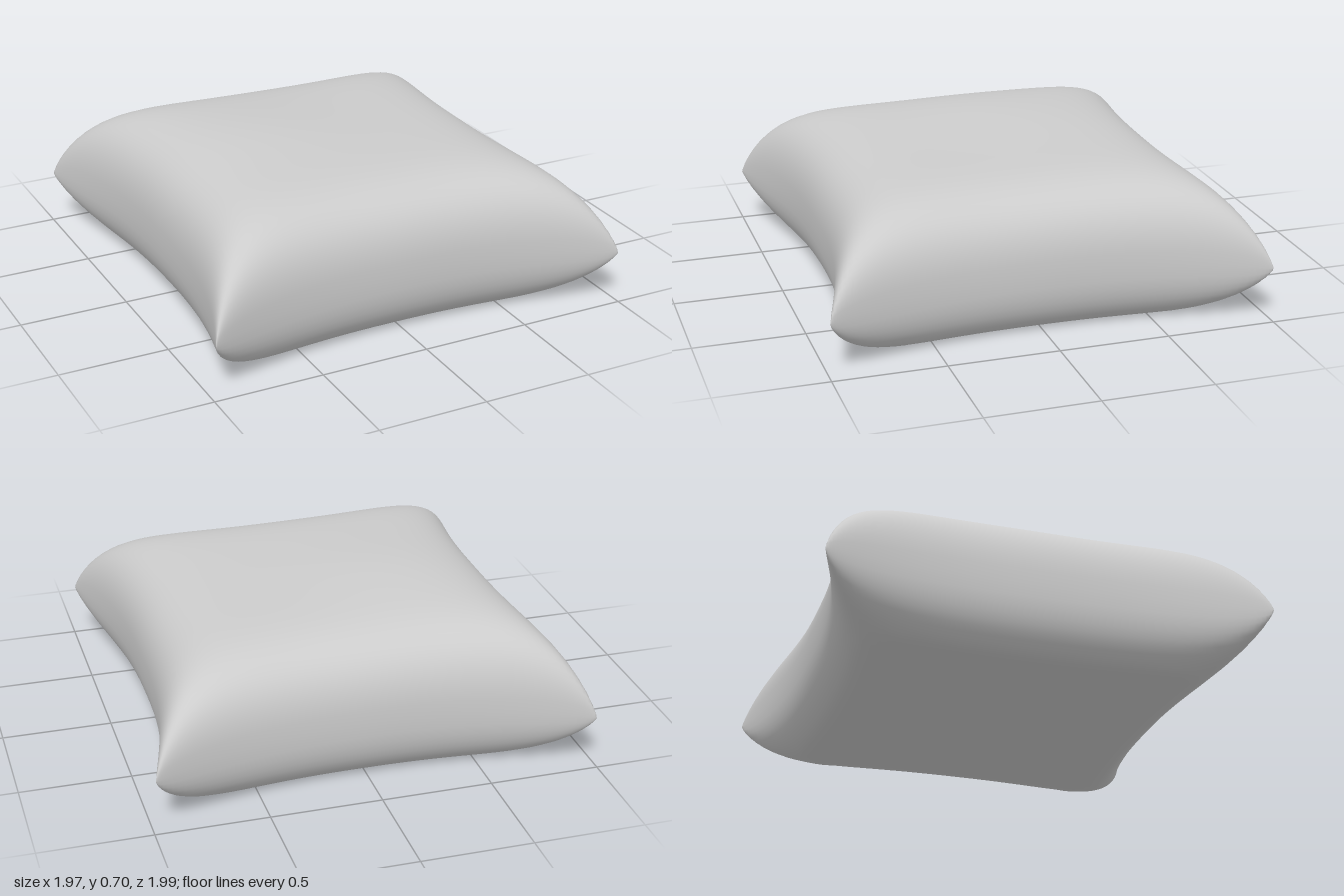
import * as THREE from 'three';
import { mergeGeometries, mergeVertices } from 'three/addons/utils/BufferGeometryUtils.js';

const SEGMENTS = 48;

// Fullness across one axis: 1 in the middle, falling steeply to 0 at the seam
const fullness = (t) => Math.pow(Math.max(0, 1 - Math.pow(Math.abs(t), 6)), 0.4);

// Seam outline: sides curve inward between the drawn-out corners
const flare = (t) => Math.pow(Math.abs(t), 2.5);

// One half of the cover: side = 1 for the domed top, -1 for the flattened underside
function coverHalf(side) {
  const geo = new THREE.PlaneGeometry(2, 2, SEGMENTS, SEGMENTS);
  geo.rotateX(-side * Math.PI / 2);
  geo.deleteAttribute('uv');
  geo.deleteAttribute('normal');
  const pos = geo.attributes.position;
  // Rows bunch up towards the seam, where the surface bends most
  const spread = (t) => Math.sin(THREE.MathUtils.clamp(t, -1, 1) * Math.PI / 2);

  for (let i = 0; i < pos.count; i++) {
    const u = spread(pos.getX(i));
    const v = spread(pos.getZ(i));
    const puff = fullness(u) * fullness(v);
    const seam = 0.29 - 0.04 * u * u * v * v;

    // Soft uneven filling: a low swell to the right, sinking slightly to the left
    const swell = 0.03 * Math.exp(-((u + 0.35) ** 2 + (v + 0.1) ** 2) / 0.25);
    const crown = 0.665 + swell - 0.014 * u;
    const y = side > 0
      ? seam + (crown - seam) * puff
      : Math.max(0, seam - (seam + 0.06) * puff);

    pos.setXYZ(i, u * (0.85 + 0.135 * flare(v)), y, v * (0.845 + 0.15 * flare(u)));
  }
  return geo;
}

export function createModel() {
  const group = new THREE.Group();
  group.name = 'pillow';

  // Weld the halves along the seam so the cover shades smoothly all round
  const cover = mergeVertices(mergeGeometries([coverHalf(1), coverHalf(-1)]), 1e-4);
  cover.computeVertexNormals();

  const mesh = new THREE.Mesh(cover, new THREE.MeshStandardMaterial({ color: 0xcccccc }));
  mesh.name = 'cushionCover';
  group.add(mesh);
  return group;
}
